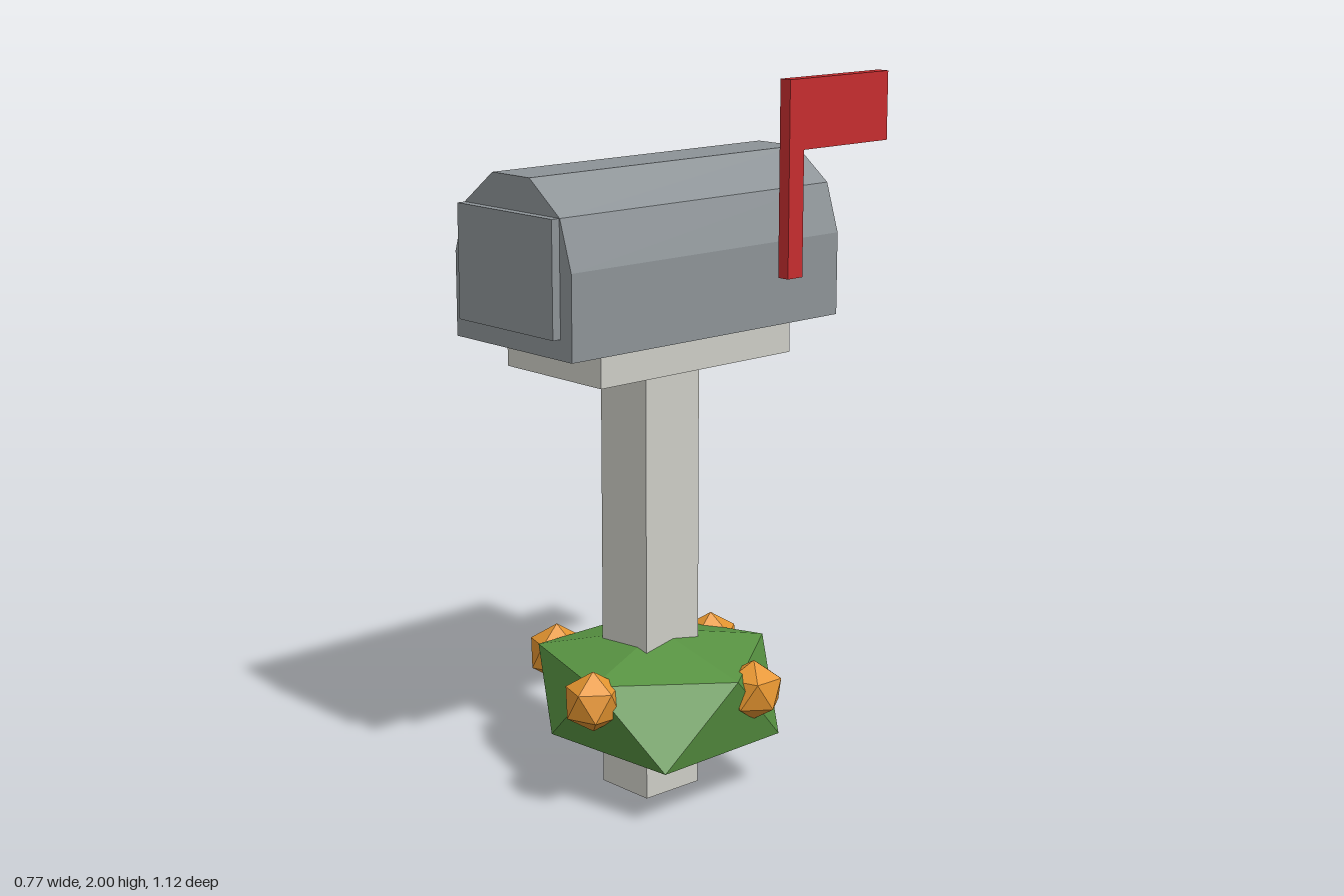
import * as THREE from 'three';

const makeMaterial = (name, color) => {
  const m = new THREE.MeshStandardMaterial({ color, flatShading: true });
  m.name = name;
  return m;
};

// Box given by its extents on each axis
function block(name, material, [x0, x1], [y0, y1], [z0, z1]) {
  const mesh = new THREE.Mesh(new THREE.BoxGeometry(x1 - x0, y1 - y0, z1 - z0), material);
  mesh.position.set((x0 + x1) / 2, (y0 + y1) / 2, (z0 + z1) / 2);
  mesh.name = name;
  return mesh;
}

// Closed 20-sided form: top point, upper and lower rings of five, bottom point
function twentySided(top, upper, lower, bottom) {
  const points = [];
  for (let k = 0; k < 5; k++) {
    const n = (k + 1) % 5;
    points.push(
      top, upper[n], upper[k],
      upper[k], upper[n], lower[k],
      upper[n], lower[n], lower[k],
      bottom, lower[k], lower[n]
    );
  }
  const geometry = new THREE.BufferGeometry();
  geometry.setAttribute('position', new THREE.Float32BufferAttribute(points.flat(), 3));
  geometry.computeVertexNormals();
  return geometry;
}

function blossomGeometry(r) {
  const ring = (y, offset) => Array.from({ length: 5 }, (_, k) => {
    const a = (k + offset) * Math.PI * 0.4;
    return [Math.cos(a) * r * 0.894, y, Math.sin(a) * r * 0.894];
  });
  return twentySided([0, r, 0], ring(r * 0.447, 0), ring(-r * 0.447, 0.5), [0, -r, 0]);
}

export function createModel() {
  const model = new THREE.Group();
  model.name = 'mailbox';
  const metal = makeMaterial('grey metal', 0x8d9397);
  const wood = makeMaterial('pale post', 0xcdcdc6);
  const red = makeMaterial('flag red', 0xc62d2f);
  const green = makeMaterial('leaf green', 0x589342);
  const orange = makeMaterial('blossom orange', 0xe59530);

  // Post and the board under the box
  model.add(block('post', wood, [-0.095, 0.09], [0, 1.24], [-0.04, 0.155]));
  model.add(block('supportBoard', wood, [-0.195, 0.19], [1.235, 1.33], [-0.29, 0.40]));

  // Box with a faceted arched roof
  const half = [[0.237, 1.33], [0.237, 1.56], [0.194, 1.695], [0.075, 1.785]];
  const outline = [...half, ...half.map(([x, y]) => [-x, y]).reverse()];
  const shape = new THREE.Shape(outline.map(([x, y]) => new THREE.Vector2(x - 0.002, y)));
  const body = new THREE.Mesh(new THREE.ExtrudeGeometry(shape, { depth: 0.963, bevelEnabled: false }), metal);
  body.position.z = -0.428;
  body.name = 'boxBody';
  model.add(body);
  model.add(block('door', metal, [-0.195, 0.19], [1.385, 1.695], [0.53, 0.56]));

  // Raised flag, one L-shaped piece; shape x runs towards the back
  const flagShape = new THREE.Shape(
    [[0.18, 1.465], [0.235, 1.465], [0.235, 1.81], [0.56, 1.81], [0.56, 2], [0.18, 2]]
      .map(([x, y]) => new THREE.Vector2(x, y))
  );
  const flag = new THREE.Mesh(new THREE.ExtrudeGeometry(flagShape, { depth: 0.037, bevelEnabled: false }), red);
  flag.rotation.y = Math.PI / 2;
  flag.position.x = 0.253;
  flag.name = 'flag';
  model.add(flag);

  // Bush around the foot of the post
  const upper = [[0.35, 0.39, 0.053], [0.10, 0.385, 0.36], [-0.265, 0.39, 0.25], [-0.285, 0.385, -0.155], [0.10, 0.39, -0.285]];
  const lower = [[0.305, 0.17, 0.28], [-0.095, 0.19, 0.345], [-0.31, 0.19, 0.05], [-0.10, 0.17, -0.297], [0.29, 0.17, -0.165]];
  const bush = new THREE.Mesh(twentySided([0.03, 0.465, 0.055], upper, lower, [0.02, 0.065, 0.05]), green);
  bush.name = 'bush';
  model.add(bush);

  // Blossoms on the four sides of the bush
  const geometry = blossomGeometry(0.086);
  const spots = [[-0.31, 0.33, 0.145], [0.09, 0.338, 0.35], [0.31, 0.335, -0.045], [-0.07, 0.338, -0.24]];
  spots.forEach(([x, y, z], i) => {
    const blossom = new THREE.Mesh(geometry, orange);
    blossom.position.set(x, y, z);
    blossom.rotation.y = i === 2 ? Math.PI : 0;
    blossom.name = `blossom${i + 1}`;
    model.add(blossom);
  });
  return model;
}
